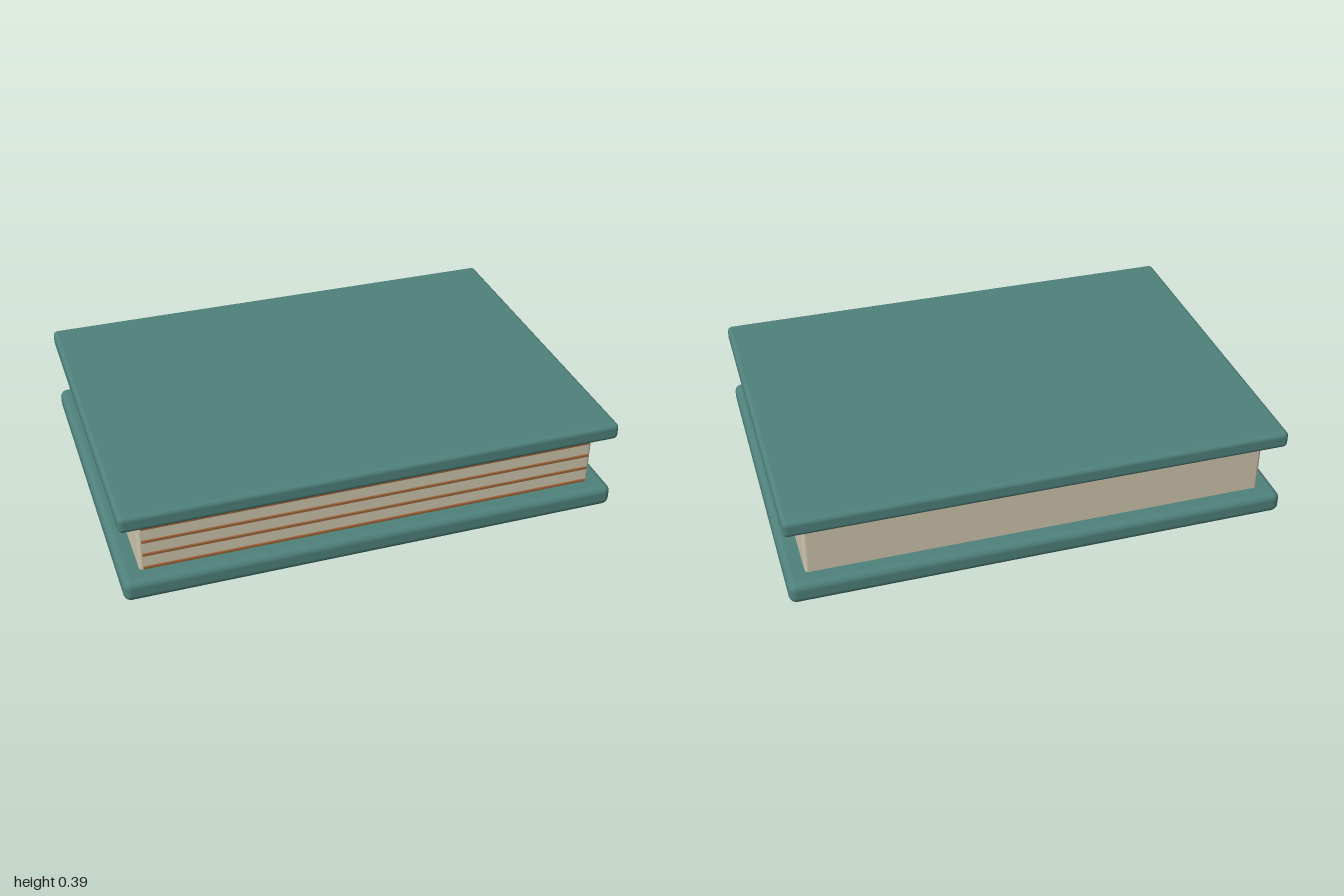
import * as THREE from 'three';
import { RoundedBoxGeometry } from 'three/addons/geometries/RoundedBoxGeometry.js';

const paint = (name, color) => {
  const material = new THREE.MeshStandardMaterial({ color });
  material.name = name;
  return material;
};

export function createModel() {
  const group = new THREE.Group();
  group.name = 'book';
  const teal = paint('teal cover', 0x4f817b);
  const cream = paint('cream paper', 0xcfc6ae);
  const brown = paint('brown page lines', 0x9a6238);

  // Rounded slab spanning the heights y0 to y1
  const slab = (name, width, depth, y0, y1, radius, material) => {
    const geometry = new RoundedBoxGeometry(width, y1 - y0, depth, 4, radius);
    const mesh = new THREE.Mesh(geometry, material);
    mesh.name = name;
    mesh.position.y = (y0 + y1) / 2;
    group.add(mesh);
  };

  // Covers and the page block, which sinks into the lower cover
  slab('bottomCover', 2, 1.45, 0, 0.09, 0.03, teal);
  slab('pageBlock', 1.85, 1.31, 0.07, 0.31, 0.015, cream);
  slab('topCover', 2, 1.45, 0.32, 0.39, 0.02, teal);

  // Page lines along the front edge
  const lineGeometry = new THREE.BoxGeometry(1.82, 0.009, 0.009);
  for (let i = 0; i < 4; i++) {
    const line = new THREE.Mesh(lineGeometry, brown);
    line.name = `pageLine${i + 1}`;
    line.position.set(0, 0.1 + i * 0.06, 0.658);
    group.add(line);
  }
  return group;
}
